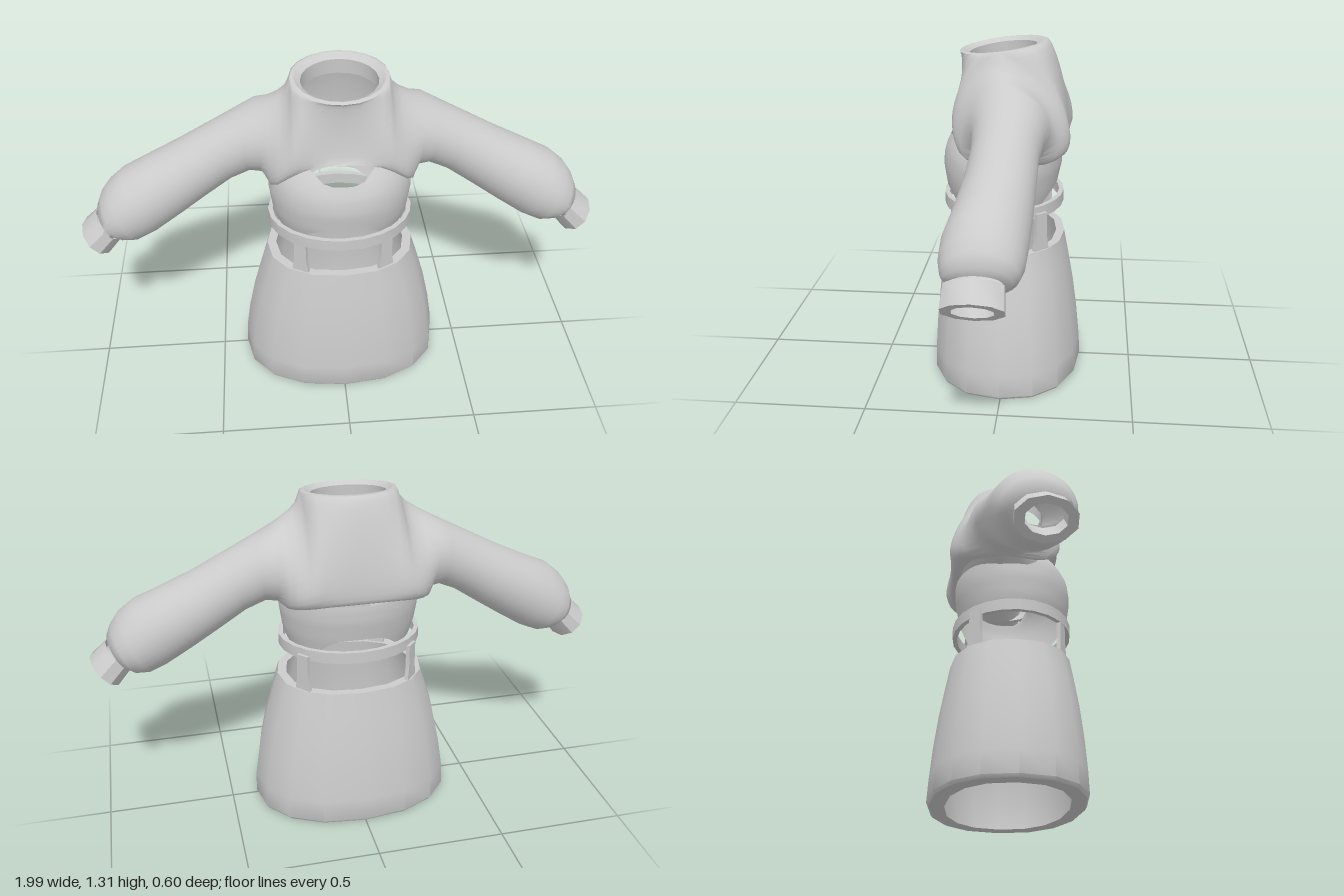
import * as THREE from 'three';
import { toCreasedNormals } from 'three/addons/utils/BufferGeometryUtils.js';

const material = new THREE.MeshStandardMaterial({ color: 0xcccccc, side: THREE.DoubleSide });
const { lerp, smoothstep } = THREE.MathUtils;

// Skin a list of equal-length point rows; columns listed in skip stay open.
function skin(name, rows, { closed = true, skip = -1, crease = 0.75 } = {}) {
  const n = rows[0].length, index = [];
  for (let i = 0; i < rows.length - 1; i++) {
    for (let j = 0; j < (closed ? n : n - 1); j++) {
      if (j === skip) continue;
      const a = i * n + j, b = i * n + (j + 1) % n;
      index.push(a, a + n, b + n, a, b + n, b);
    }
  }
  const g = new THREE.BufferGeometry();
  g.setAttribute('position', new THREE.Float32BufferAttribute(rows.flat(2), 3));
  g.setIndex(index);
  const mesh = new THREE.Mesh(toCreasedNormals(g, crease), material);
  mesh.name = name;
  return mesh;
}

// Horizontal oval: half width, front z, back z; power above 2 squares it off.
function oval(y, rx, zf, zb, sides = 16, power = 2) {
  return Array.from({ length: sides }, (_, k) => {
    const a = (k / sides) * Math.PI * 2;
    const e = (v) => Math.sign(v) * Math.abs(v) ** (2 / power);
    return [rx * e(Math.cos(a)), y, (zf + zb) / 2 + ((zf - zb) / 2) * e(Math.sin(a))];
  });
}

// Skirt: outer wall up, over the waist rim, inner wall down, closed at the hem.
function makeSkirt() {
  const profile = [
    [0, 0.33, 0.235, -0.23], [0, 0.39, 0.292, -0.288], [0.012, 0.4, 0.3, -0.296],
    [0.1, 0.396, 0.297, -0.29], [0.22, 0.378, 0.289, -0.278], [0.35, 0.35, 0.276, -0.26],
    [0.46, 0.318, 0.26, -0.24], [0.553, 0.29, 0.245, -0.222],
    [0.553, 0.255, 0.212, -0.19], [0.35, 0.315, 0.24, -0.225], [0.1, 0.345, 0.25, -0.245],
    [0, 0.33, 0.235, -0.23],
  ];
  return skin('skirt', profile.map((p) => oval(...p, 16, 2.25)));
}

// Belt band with a thin wall.
function makeBelt() {
  const outer = [0.28, 0.25, -0.216], inner = [0.262, 0.232, -0.198];
  const rows = [[0.68, ...inner], [0.68, ...outer], [0.725, ...outer], [0.725, ...inner], [0.68, ...inner]];
  return skin('belt', rows.map((p) => oval(...p, 24)));
}

// Four hanging straps, flared at the lower end.
function makeStraps() {
  const group = new THREE.Group();
  group.name = 'straps';
  for (const side of [-1, 1]) {
    for (const [x, z, turn] of [[0.163, 0.192, 0.5], [0.212, -0.138, 2.3]]) {
      const g = new THREE.BoxGeometry(0.05, 0.17, 0.016, 1, 5, 1);
      const p = g.attributes.position;
      for (let i = 0; i < p.count; i++) {
        p.setX(i, p.getX(i) * (1 + 0.45 * smoothstep(-p.getY(i), 0, 0.085)));
      }
      const strap = new THREE.Mesh(toCreasedNormals(g, 0.6), material);
      strap.name = 'strap';
      strap.position.set(side * x, 0.615, z);
      strap.rotation.y = side * turn;
      group.add(strap);
    }
  }
  return group;
}

// Bandeau top: body profile cut by wavy upper and lower edges.
function makeBandeau() {
  const profile = [ // y, half width, front z, back z
    [0.69, 0.24, 0.215, -0.17], [0.76, 0.262, 0.24, -0.19], [0.84, 0.273, 0.252, -0.207],
    [0.9, 0.27, 0.245, -0.21], [0.95, 0.25, 0.222, -0.2], [1.0, 0.215, 0.175, -0.18],
  ];
  const at = (y) => {
    const i = Math.max(0, Math.min(profile.length - 2, profile.findIndex((p) => p[0] > y) - 1));
    const t = (y - profile[i][0]) / (profile[i + 1][0] - profile[i][0]);
    return profile[i].map((v, k) => lerp(v, profile[i + 1][k], t));
  };
  const sides = 40, levels = 9, rows = [];
  for (let r = 0; r <= levels; r++) {
    const row = [];
    for (let k = 0; k < sides; k++) {
      const a = (k / sides) * Math.PI * 2, s = Math.sin(a);
      const low = 0.705 + 0.06 * smoothstep(Math.abs(s), 0.75, 1);
      const high = s > 0
        ? 0.88 + 0.115 * smoothstep(s, 0.15, 0.75) - 0.045 * smoothstep(s, 0.82, 1)
        : 0.88 + 0.03 * smoothstep(-s, 0.2, 0.8);
      const [y, rx, zf, zb] = at(lerp(low, high, r / levels));
      row.push([rx * Math.cos(a), y, (zf + zb) / 2 + ((zf - zb) / 2) * s]);
    }
    rows.push(row);
  }
  return skin('bandeau', rows);
}

// Collar line, tilted down toward the front.
const NECK_Z = 0.02;
const neckY = (z) => 1.29 - 0.13 * (z - NECK_Z);

// Sweater stations run from the centre out to the wrist. Each has a front and
// a back half: bottom point, top point and how far the half bulges in z.
function sweaterStations() {
  const stations = [];
  // Around the neck: hem x, front hem y z, back hem y z, front and back bulge
  const neck = [
    [0, 1.03, 0.2, 0.925, -0.22, -0.018, -0.03], [0.05, 1.028, 0.199, 0.925, -0.22, -0.014, -0.034],
    [0.1, 1.017, 0.194, 0.924, -0.218, 0, -0.045], [0.14, 1.003, 0.184, 0.922, -0.211, 0.025, -0.065],
    [0.17, 0.985, 0.172, 0.92, -0.203, 0.055, -0.09], [0.19, 0.97, 0.162, 0.918, -0.195, 0.073, -0.106],
  ];
  neck.forEach(([bx, fy, fz, by, bz, f, b], i) => {
    const a = (i / (neck.length - 1)) * Math.PI / 2;
    const tx = 0.18 * Math.sin(a), d = i === neck.length - 1 ? 0 : 0.165 * Math.cos(a);
    const top = (z) => [tx, neckY(z), z];
    stations.push([
      { bottom: [bx, fy, fz], top: top(NECK_Z + d), bulge: f },
      { bottom: [bx, by, bz], top: top(NECK_Z - d), bulge: b },
    ]);
  });
  // Shoulder, still open below: top x y z, then as above
  for (const [tx, ty, tz, bx, fy, fz, by, bz, f, b] of [
    [0.192, 1.255, 0.016, 0.215, 0.948, 0.15, 0.914, -0.183, 0.078, -0.11],
    [0.22, 1.228, 0.01, 0.24, 0.922, 0.132, 0.909, -0.165, 0.082, -0.11],
    [0.26, 1.203, 0, 0.265, 0.905, 0.1, 0.903, -0.13, 0.09, -0.118],
  ]) {
    stations.push([
      { bottom: [bx, fy, fz], top: [tx, ty, tz], bulge: f },
      { bottom: [bx, by, bz], top: [tx, ty, tz], bulge: b },
    ]);
  }
  // Sleeve, closed: top x y, bottom x y, front z, back z
  for (const [tx, ty, bx, by, zf, zb] of [
    [0.31, 1.178, 0.292, 0.9, 0.115, -0.172], [0.37, 1.147, 0.335, 0.906, 0.1, -0.155],
    [0.46, 1.1, 0.41, 0.872, 0.094, -0.142], [0.6, 1.025, 0.5, 0.81, 0.105, -0.14],
    [0.73, 0.963, 0.61, 0.735, 0.128, -0.137], [0.82, 0.922, 0.71, 0.67, 0.148, -0.132],
    [0.876, 0.875, 0.775, 0.64, 0.15, -0.125], [0.908, 0.83, 0.822, 0.642, 0.14, -0.112],
    [0.926, 0.785, 0.848, 0.66, 0.125, -0.09], [0.915, 0.755, 0.855, 0.68, 0.1, -0.06],
  ]) {
    const z = (zf + zb) / 2, half = { bottom: [bx, by, z], top: [tx, ty, z] };
    stations.push([{ ...half, bulge: zf - z }, { ...half, bulge: zb - z }]);
  }
  return stations;
}

function makeSweater() {
  const steps = 14;
  const section = (station, side) => {
    const halves = station.map(({ bottom, top, bulge }) =>
      Array.from({ length: steps + 1 }, (_, k) => {
        const a = (k / steps) * Math.PI, t = (1 - Math.cos(a)) / 2;
        return [side * lerp(bottom[0], top[0], t), lerp(bottom[1], top[1], t),
          lerp(bottom[2], top[2], t) + bulge * Math.sin(a)];
      }));
    // Hem turned inward for thickness
    for (const h of halves) h.unshift([h[0][0] * 0.96, h[0][1] + 0.004, h[0][2] * 0.87]);
    if (station[0].bottom[2] === station[1].bottom[2]) for (const h of halves) h[0] = [...h[1]];
    return [...halves[0], ...halves[1].reverse()];
  };
  const stations = sweaterStations();
  const rows = [
    ...stations.slice(1).reverse().map((s) => section(s, -1)),
    ...stations.map((s) => section(s, 1)),
  ];
  return skin('sweater', rows, { closed: false, skip: steps + 1, crease: 0.95 });
}

// Collar rim, from the neck edge inward and down.
function makeCollar() {
  const rows = [[0.18, 0.165, 0], [0.165, 0.15, 0.003], [0.142, 0.127, -0.012], [0.145, 0.13, -0.07]]
    .map(([rx, rz, dy]) => oval(0, rx, NECK_Z + rz, NECK_Z - rz, 20).map(([x, , z]) => [x, neckY(z) + dy, z]));
  return skin('collar', rows);
}

// Cuff: short faceted tube with a thick wall.
function makeCuff(side) {
  const sides = 10, z0 = 0.028;
  const rows = [[0, 0.068, 0.1], [0.085, 0.075, 0.105], [0.085, 0.05, 0.07], [0, 0.048, 0.068]]
    .map(([d, ru, rz]) => Array.from({ length: sides }, (_, k) => {
      const a = (k / sides) * Math.PI * 2, u = ru * Math.cos(a);
      return [side * (0.886 + 0.69 * d + 0.7 * u), 0.708 - 0.725 * d + 0.72 * u,
        z0 - side * rz * Math.sin(a)];
    }));
  return skin(side > 0 ? 'leftCuff' : 'rightCuff', rows);
}

export function createModel() {
  const model = new THREE.Group();
  model.name = 'outfit';
  model.add(makeSkirt(), makeBelt(), makeStraps(), makeBandeau(), makeSweater(), makeCollar(), makeCuff(1), makeCuff(-1));
  return model;
}
